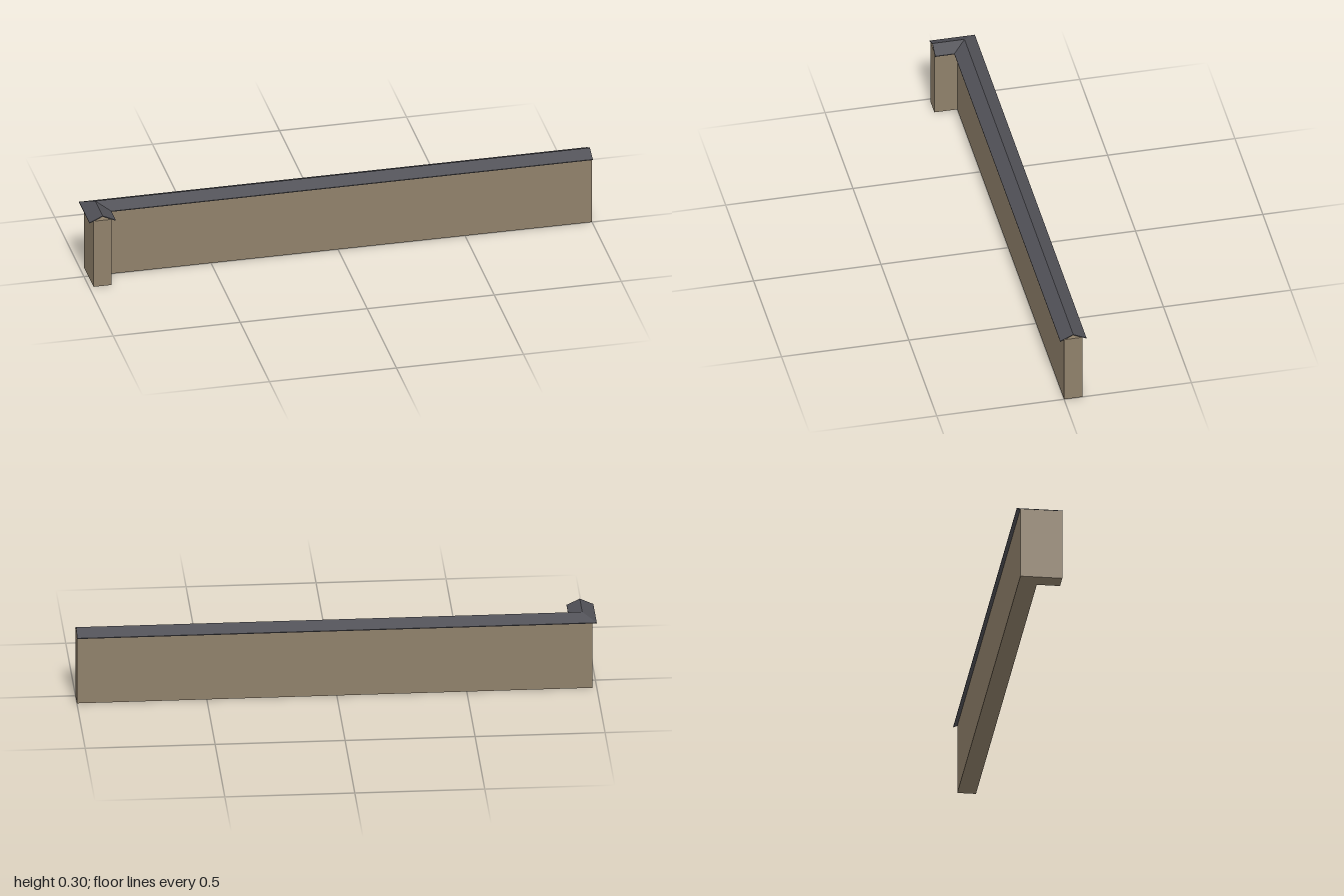
import * as THREE from 'three';

const wallMaterial = new THREE.MeshStandardMaterial({ color: 0x8f806a });
wallMaterial.name = 'tan wall';
const roofMaterial = new THREE.MeshStandardMaterial({ color: 0x4f4f55 });
roofMaterial.name = 'slate grey';

// L-shaped wall: plan drawn as (x, -z), then extruded upwards
function createWall() {
  const plan = new THREE.Shape([
    [-0.983, -0.09], [-0.912, -0.09], [-0.912, 0],
    [1, 0], [1, 0.072], [-0.983, 0.072],
  ].map(([x, y]) => new THREE.Vector2(x, y)));
  const geometry = new THREE.ExtrudeGeometry(plan, { depth: 0.2845, bevelEnabled: false });
  geometry.rotateX(-Math.PI / 2);
  const mesh = new THREE.Mesh(geometry, wallMaterial);
  mesh.name = 'wall';
  return mesh;
}

// Thin gabled coping, open underneath, swept along the ridge with a mitred corner
function createCoping() {
  // [offset from ridge towards the outside, height]
  const profile = [
    [0.052, 0.2795], [0, 0.3035], [-0.051, 0.2795],
    [-0.051, 0.2765], [0, 0.3005], [0.052, 0.2765],
  ];
  const ridgeX = -0.947, ridgeZ = -0.036;
  const sections = [
    profile.map(([d, y]) => [1, y, ridgeZ - d]),
    profile.map(([d, y]) => [ridgeX - d, y, ridgeZ - d]),
    profile.map(([d, y]) => [ridgeX - d, y, 0.09]),
  ];
  const positions = [];
  const quad = (a, b, c, d) => positions.push(...a, ...b, ...c, ...a, ...c, ...d);

  for (let i = 0; i < 2; i++) {
    const s = sections[i], t = sections[i + 1];
    for (let j = 0; j < 6; j++) {
      const k = (j + 1) % 6;
      quad(s[j], t[j], t[k], s[k]);
    }
  }
  // End caps
  const [start, , end] = sections;
  for (const [a, b, c, d] of [[0, 1, 4, 5], [1, 2, 3, 4]]) {
    quad(start[a], start[b], start[c], start[d]);
    quad(end[d], end[c], end[b], end[a]);
  }

  const geometry = new THREE.BufferGeometry();
  geometry.setAttribute('position', new THREE.Float32BufferAttribute(positions, 3));
  geometry.computeVertexNormals();
  const mesh = new THREE.Mesh(geometry, roofMaterial);
  mesh.name = 'coping';
  return mesh;
}

export function createModel() {
  const group = new THREE.Group();
  group.name = 'cornerWall';
  group.add(createWall(), createCoping());
  return group;
}
